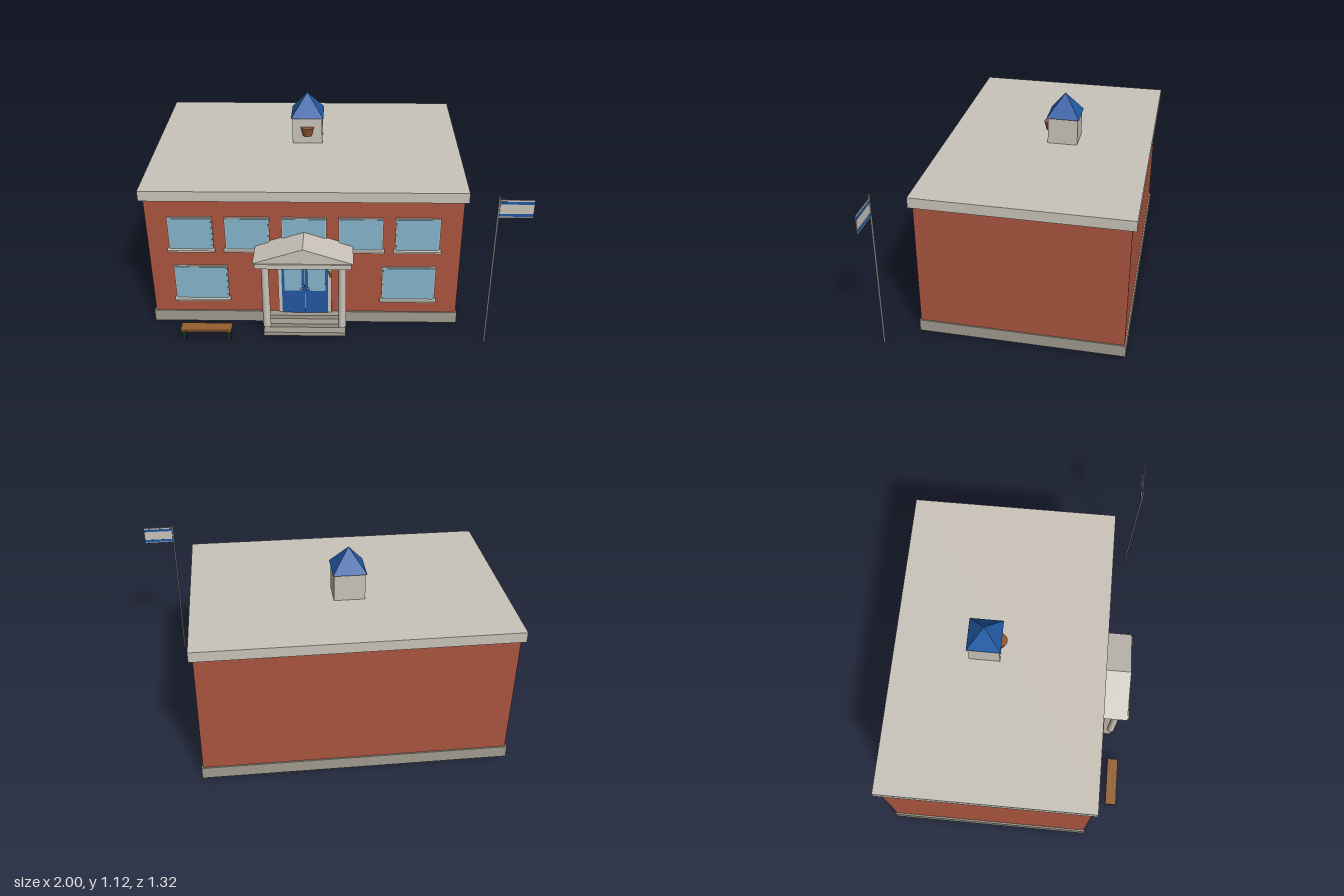
import * as THREE from 'three';

const mat = (name, color) => {
  const m = new THREE.MeshStandardMaterial({ color });
  m.name = name;
  return m;
};

export function createModel() {
  const brick = mat('brick red', 0xab553f);
  const stone = mat('pale stone', 0xcac4ba);
  const plinthGrey = mat('plinth grey', 0xa09b8f);
  const glass = mat('window glass', 0x86b4cb);
  const blue = mat('royal blue', 0x2159a2);
  const green = mat('dark green', 0x203a24);
  const wood = mat('warm wood', 0x94602f);
  const bronze = mat('bronze', 0x8f5833);
  const metal = mat('pole metal', 0x74777b);

  const school = new THREE.Group();
  school.name = 'schoolhouse';

  const add = (name, geometry, material, parent = school) => {
    const mesh = new THREE.Mesh(geometry, material);
    mesh.name = name;
    parent.add(mesh);
    return mesh;
  };
  // Box given by its limits on each axis
  const box = (name, material, [x0, x1], [y0, y1], [z0, z1], parent) => {
    const g = new THREE.BoxGeometry(x1 - x0, y1 - y0, z1 - z0);
    g.translate((x0 + x1) / 2, (y0 + y1) / 2, (z0 + z1) / 2);
    return add(name, g, material, parent);
  };
  const group = (name) => {
    const g = new THREE.Group();
    g.name = name;
    school.add(g);
    return g;
  };

  const cx = -0.148; // centre line of the building
  const wallZ = 0.473; // front wall

  // Main block
  box('walls', brick, [-0.98, 0.685], [0, 0.78], [-0.637, wallZ]);
  box('plinth', plinthGrey, [-0.99, 0.692], [0.001, 0.07], [-0.645, 0.48]);
  box('roofSlab', stone, [-1, 0.705], [0.78, 0.838], [-0.66, 0.493]);

  // Bell turret
  const turret = group('bellTurret');
  box('turretBody', stone, [cx - 0.084, cx + 0.084], [0.838, 0.99], [-0.249, -0.081], turret);
  const cap = new THREE.ConeGeometry(0.129, 0.125, 4, 1).toNonIndexed();
  cap.rotateY(Math.PI / 4);
  cap.computeVertexNormals();
  add('turretRoof', cap, blue, turret).position.set(cx, 1.0525, -0.165);
  add('bell', new THREE.CylinderGeometry(0.038, 0.026, 0.05, 20), bronze, turret)
    .position.set(cx, 0.912, -0.084);

  // Windows with frame, pane and sill
  const addWindow = (x, w, y0, y1) => {
    const g = group('window');
    box('windowFrame', stone, [x - w / 2, x + w / 2], [y0, y1], [wallZ, 0.483], g);
    box('windowPane', glass, [x - w / 2 + 0.006, x + w / 2 - 0.006],
      [y0 + 0.006, y1 - 0.006], [0.48, 0.487], g);
    box('windowSill', stone, [x - w / 2 - 0.008, x + w / 2 + 0.008],
      [y0 - 0.005, y0 + 0.006], [wallZ, 0.505], g);
  };
  for (let i = -2; i <= 2; i++) addWindow(cx + i * 0.3, 0.236, 0.48, 0.678);
  for (const x of [-0.71, 0.415]) addWindow(x, 0.29, 0.16, 0.373);

  // Double door
  const door = group('entrance');
  box('doorFrame', stone, [cx - 0.146, cx + 0.146], [0.07, 0.42], [wallZ, 0.484], door);
  for (const s of [-1, 1]) {
    const span = (a, b) => [Math.min(cx + s * a, cx + s * b), Math.max(cx + s * a, cx + s * b)];
    box('doorLeaf', blue, span(0.001, 0.126), [0.07, 0.404], [0.48, 0.489], door);
    box('doorPane', glass, span(0.017, 0.111), [0.22, 0.375], [0.486, 0.491], door);
    add('doorKnob', new THREE.SphereGeometry(0.008, 12, 8), metal, door)
      .position.set(cx + s * 0.016, 0.235, 0.494);
  }
  const post = box('doorpostCase', bronze, [-0.005, 0.005], [-0.019, 0.019], [-0.004, 0.004], door);
  post.position.set(-0.013, 0.328, 0.488);
  post.rotation.z = 0.3;
  box('signBoard', green, [cx - 0.181, cx + 0.181], [0.403, 0.477], [wallZ, 0.492], door);

  // Steps and columns
  const porch = group('porch');
  for (let i = 0; i < 3; i++) {
    box('step', plinthGrey, [cx - 0.224, cx + 0.224],
      [i * 0.0233, (i + 1) * 0.0233], [0.47, 0.606 - i * 0.045], porch);
  }
  for (const s of [-1, 1]) {
    add('column', new THREE.CylinderGeometry(0.019, 0.022, 0.41, 20), stone, porch)
      .position.set(cx + s * 0.203, 0.275, 0.6);
  }

  // Gabled canopy
  box('canopyBeam', stone, [cx - 0.25, cx + 0.25], [0.478, 0.506], [wallZ, 0.66], porch);
  const gable = new THREE.Shape([
    new THREE.Vector2(-0.26, 0.506),
    new THREE.Vector2(0.26, 0.506),
    new THREE.Vector2(0, 0.594),
  ]);
  add('canopyGable', new THREE.ExtrudeGeometry(gable, { depth: 0.18, bevelEnabled: false }), stone, porch)
    .position.set(cx, 0, wallZ);

  // Bench
  const bench = group('bench');
  box('benchSeat', wood, [-0.815, -0.54], [0.06, 0.073], [0.592, 0.654], bench);
  for (const x of [-0.8, -0.555]) {
    box('benchLeg', green, [x - 0.007, x + 0.007], [0, 0.06], [0.598, 0.65], bench);
  }

  // Flagpole with striped flag
  const flag = group('flagpole');
  add('pole', new THREE.CylinderGeometry(0.006, 0.006, 0.905, 12), metal, flag)
    .position.set(0.825, 0.4525, 0.638);
  box('flagCloth', stone, [0.83, 1], [0.785, 0.886], [0.636, 0.64], flag);
  for (const y of [0.8, 0.869]) {
    box('flagStripe', blue, [0.83, 1], [y - 0.008, y + 0.008], [0.635, 0.641], flag);
  }

  return school;
}
